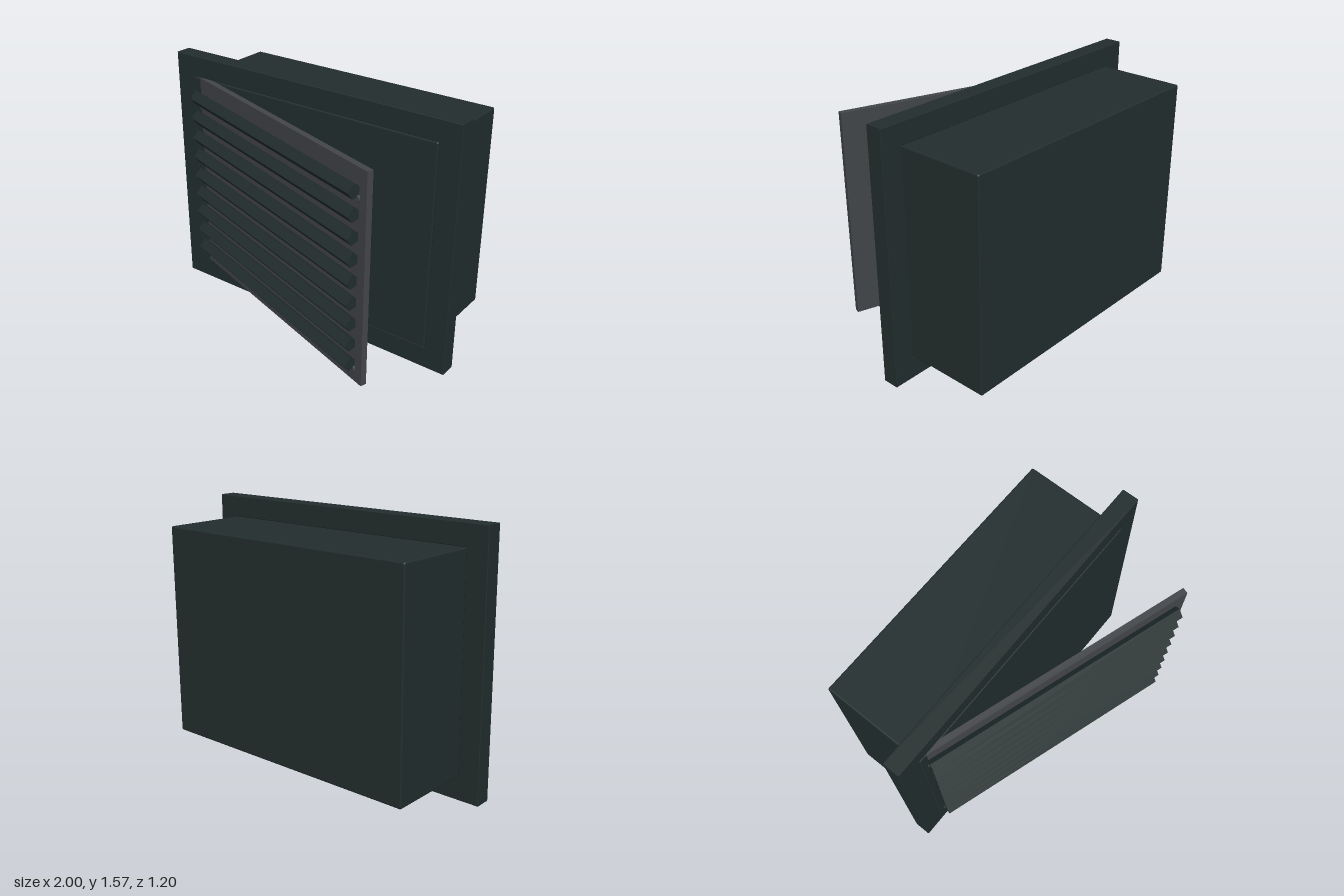
import * as THREE from 'three';
import { RoundedBoxGeometry } from 'three/addons/geometries/RoundedBoxGeometry.js';

const W = 1.73, Y0 = 0.14, Y1 = 1.435, MID = (Y0 + Y1) / 2, H = Y1 - Y0;

function rect(Type, x0, y0, x1, y1) {
  const s = new Type();
  s.moveTo(x0, y0);
  s.lineTo(x1, y0);
  s.lineTo(x1, y1);
  s.lineTo(x0, y1);
  s.closePath();
  return s;
}

export function createModel() {
  const model = new THREE.Group();
  const dark = new THREE.MeshStandardMaterial({ color: 0x222d2d });
  dark.name = 'dark housing';
  const grey = new THREE.MeshStandardMaterial({ color: 0x424549 });
  grey.name = 'grey door';

  const add = (parent, name, geometry, material, x = 0, y = 0, z = 0) => {
    const mesh = new THREE.Mesh(geometry, material);
    mesh.name = name;
    mesh.position.set(x, y, z);
    parent.add(mesh);
    return mesh;
  };

  // Housing box with softly rounded edges
  add(model, 'housing', new RoundedBoxGeometry(W, H, 0.64, 2, 0.01), dark, 0, MID, -0.285);

  // Wall flange around the housing
  const flange = rect(THREE.Shape, -0.997, 0.003, 0.997, 1.562);
  flange.holes.push(rect(THREE.Path, -W / 2 - 0.003, Y0 - 0.003, W / 2 + 0.003, Y1 + 0.003));
  add(model, 'flange', new THREE.ExtrudeGeometry(flange, {
    depth: 0.099, bevelEnabled: true, bevelThickness: 0.003, bevelSize: 0.003, bevelSegments: 1,
  }), dark, 0, 0, -0.072);

  // Door, hinged on the right-hand edge and swung open
  const door = new THREE.Group();
  door.name = 'door';
  door.position.set(-W / 2, 0, -0.021);
  door.rotation.y = -THREE.MathUtils.degToRad(18);
  model.add(door);
  add(door, 'doorPanel', new THREE.BoxGeometry(W, H, 0.037), grey, W / 2, MID, 0.0185);

  // Louvre slats: a tilted bar profile (depth, height) run along the door
  const profile = [[0.03, -0.028], [0.077, -0.044], [0.108, -0.003], [0.068, 0.043], [0.03, 0.015]];
  const slatShape = new THREE.Shape(profile.map(([d, h]) => new THREE.Vector2(-d, h)).reverse());
  const slat = new THREE.ExtrudeGeometry(slatShape, { depth: 1.61, bevelEnabled: false });
  slat.rotateY(Math.PI / 2);
  for (let i = 0; i < 9; i++) {
    add(door, 'louvre' + (i + 1), slat, dark, 0.06, 0.265 + i * 0.1312, 0);
  }

  // Round fixings at the corners of the louvre field
  const stud = new THREE.CylinderGeometry(0.03, 0.03, 0.016, 20);
  stud.rotateX(Math.PI / 2);
  for (const x of [0.083, 1.65]) {
    for (const y of [0.22, 1.265]) add(door, 'stud', stud, grey, x, y, 0.042);
  }
  return model;
}
